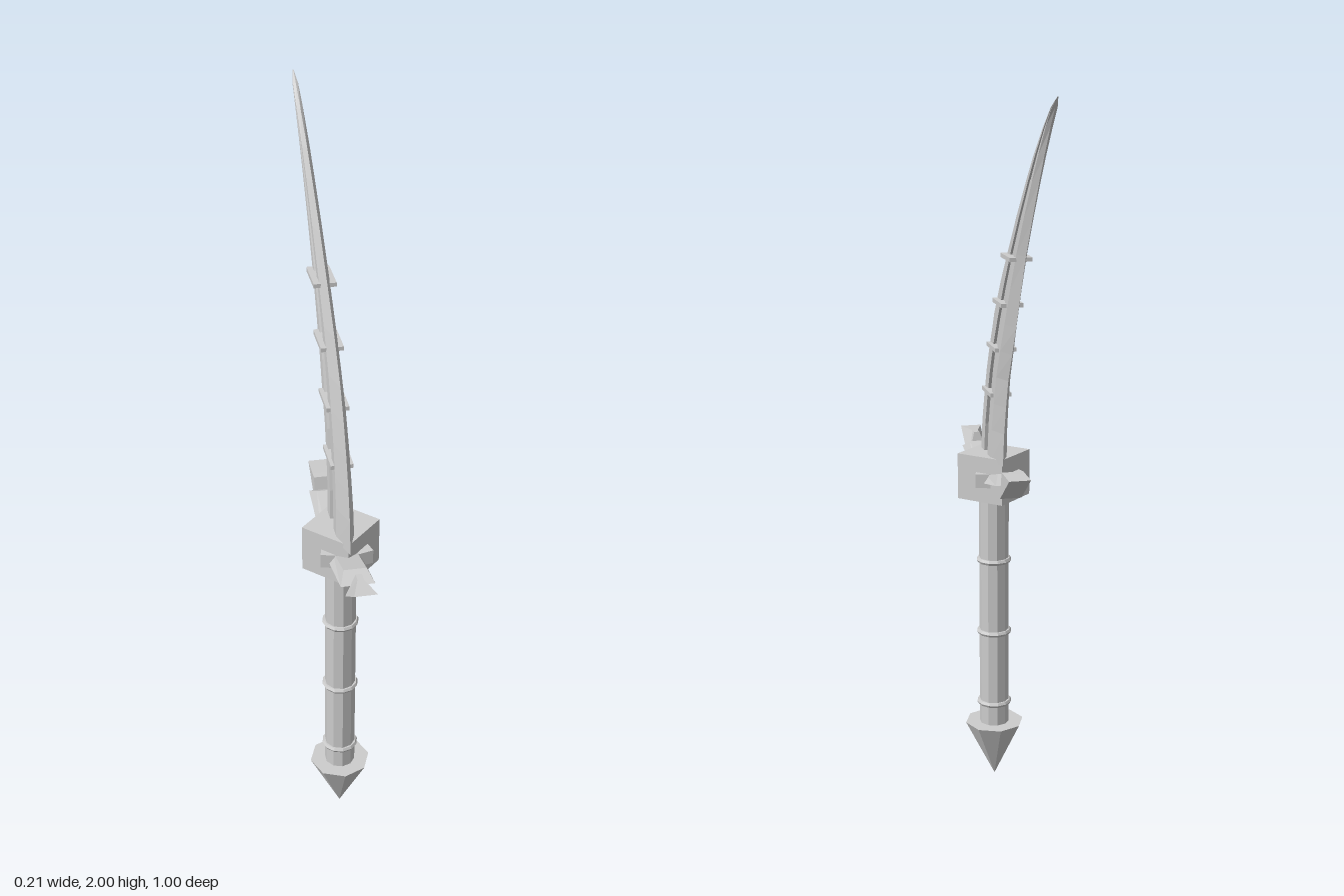
import * as THREE from 'three';

export function createModel() {
  const steel = new THREE.MeshStandardMaterial({ color: 0xcccccc, flatShading: true });
  steel.name = 'steel grey';
  const group = new THREE.Group();
  group.name = 'curvedSword';
  const Z = 0.178; // axis of the grip

  function add(name, geo, x = 0, y = 0, z = 0, ry = 0) {
    const m = new THREE.Mesh(geo, steel);
    m.name = name;
    m.position.set(x, y, z);
    m.rotation.y = ry;
    group.add(m);
  }

  // Joins equal-length rings of points into a closed, capped solid.
  // Rings run anticlockwise when looking back from the last ring.
  function loft(rings) {
    const n = rings[0].length, idx = [];
    for (let i = 0; i < rings.length - 1; i++) {
      for (let j = 0; j < n; j++) {
        const a = i * n + j, b = i * n + (j + 1) % n;
        idx.push(a, b, b + n, a, b + n, a + n);
      }
    }
    const top = (rings.length - 1) * n;
    for (let j = 1; j < n - 1; j++) {
      idx.push(0, j + 1, j, top, top + j, top + j + 1);
    }
    const g = new THREE.BufferGeometry();
    g.setAttribute('position', new THREE.Float32BufferAttribute(rings.flat(2), 3));
    g.setIndex(idx);
    const flat = g.toNonIndexed();
    flat.computeVertexNormals();
    return flat;
  }

  // Grip, its rings and the pointed pommel
  add('grip', new THREE.CylinderGeometry(0.043, 0.043, 0.72, 10), 0, 0.52, Z);
  for (const y of [0.235, 0.457, 0.677]) {
    const ring = new THREE.TorusGeometry(0.043, 0.008, 6, 12);
    ring.rotateX(Math.PI / 2);
    add('gripRing', ring, 0, y, Z);
  }
  add('pommel', new THREE.CylinderGeometry(0.086, 0.001, 0.17, 8), 0, 0.085, Z);

  // Guard block turned on its corner, with studs on its faces
  add('guardBlock', new THREE.BoxGeometry(0.148, 0.132, 0.148), 0, 0.933, Z, Math.PI / 4);
  for (const sx of [1, -1]) for (const sz of [1, -1]) {
    const inset = sx * sz > 0 ? 0 : 0.005;
    add('guardStud', new THREE.BoxGeometry(0.042, 0.04, 0.042),
      sx * (0.047 - inset), 0.933, Z + sz * (0.058 - inset), sx * sz * 0.25);
  }

  // Guard arms: bevelled bars that end in wedge heads
  function arm(side, ridge) {
    const zAt = d => Z + side * d;
    const orient = r => (side > 0 ? r : r.reverse());
    const section = (d, y, cut) => orient([
      [-0.045, y, zAt(d)], [0.045, y, zAt(d)],
      [0.03, y + 0.022, zAt(d - cut)], [-0.03, y + 0.022, zAt(d - cut)]]);
    add('guardArm', loft([section(0.04, 0.919, 0), section(0.227, 0.962, 0.04)]));

    // Head: wide tip and foot, with a ridge of its own width at the top
    const wedge = s => orient([
      [s * 0.03, 0.92, zAt(0.212)], [s * ridge, 1.0, zAt(0.232)],
      [s * ridge, 1.0, zAt(0.255)], [s * 0.03, 0.999, zAt(0.322)]]);
    add('armHead', loft([wedge(-1), wedge(1)]));
  }
  arm(1, 0.008);
  arm(-1, 0.03);

  // Blade stations: height, outer edge z, inner edge z, half thickness
  const body = [
    [0.985, 0.306, 0.06, 0.024], [1.08, 0.295, 0.045, 0.0225],
    [1.16, 0.274, 0.022, 0.021], [1.24, 0.245, -0.005, 0.02],
    [1.32, 0.21, -0.05, 0.019], [1.40, 0.165, -0.095, 0.017],
    [1.50, 0.085, -0.147, 0.0155], [1.60, -0.01, -0.2, 0.014],
    [1.70, -0.11, -0.266, 0.0125], [1.795, -0.215, -0.332, 0.011]
  ];
  const whole = [...body, [1.86, -0.292, -0.38, 0.01], [1.93, -0.388, -0.436, 0.0085],
    [1.975, -0.457, -0.477, 0.007], [2.0, -0.499, -0.5, 0.001]];
  const blade = (name, stations, points) => add(name, loft(stations.map(
    ([y, outer, inner, t]) => points.map(([f, k]) => [k * t, y, outer + (inner - outer) * f]))));

  // Two full-length halves; the recessed web stops short and leaves a slot at the point
  blade('outerBlade', whole, [[0, 0], [0.28, 1], [0.44, 1], [0.44, -1], [0.28, -1]]);
  blade('innerBlade', whole, [[0.62, 1], [0.76, 1], [1, 0], [0.76, -1], [0.62, -1]]);
  blade('bladeWeb', body, [[0.43, -0.58], [0.43, 0.58], [0.63, 0.58], [0.63, -0.58]]);

  // Cross bars through the blade
  for (const [y, z] of [[1.183, 0.137], [1.32, 0.078], [1.453, 0.002], [1.586, -0.096]]) {
    add('bladeCrossBar', new THREE.BoxGeometry(0.06, 0.011, 0.108), 0, y, z);
  }

  return group;
}
